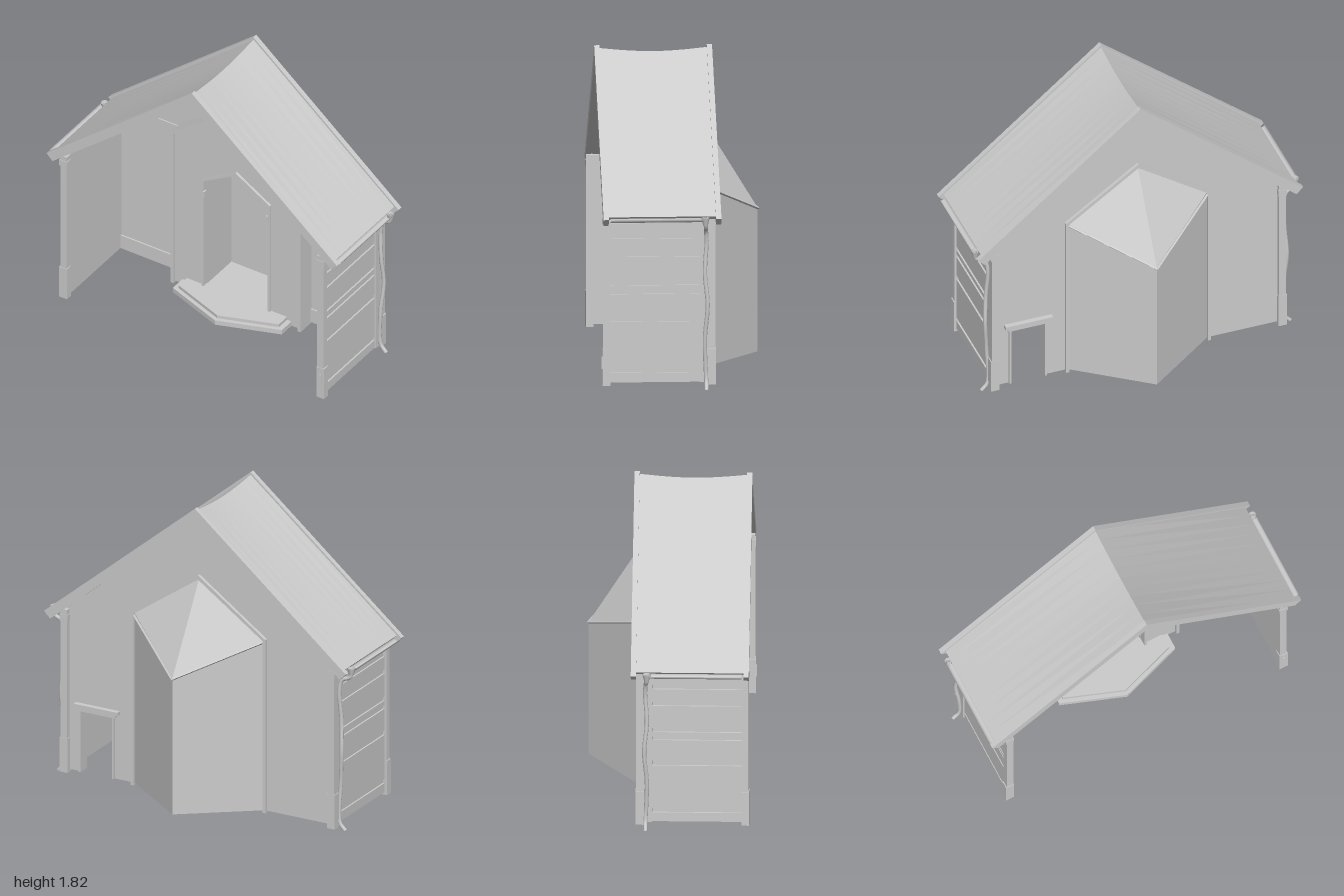
import * as THREE from 'three';

const mat = new THREE.MeshStandardMaterial({ color: 0xcccccc, flatShading: true, side: THREE.DoubleSide });
const smooth = new THREE.MeshStandardMaterial({ color: 0xcccccc, side: THREE.DoubleSide });

export function createModel() {
  const house = new THREE.Group();
  house.name = 'house';

  const add = (name, geometry, material = mat) => {
    const mesh = new THREE.Mesh(geometry, material);
    mesh.name = name;
    house.add(mesh);
    return mesh;
  };
  // Box given by its limits on each axis
  const box = (name, x0, x1, y0, y1, z0, z1) =>
    add(name, new THREE.BoxGeometry(Math.abs(x1 - x0), y1 - y0, z1 - z0))
      .position.set((x0 + x1) / 2, (y0 + y1) / 2, (z0 + z1) / 2);
  const toShape = (pts) => new THREE.Shape(pts.map(([x, y]) => new THREE.Vector2(x, y)));
  // Outline in the xy plane, extruded from z0 to z1
  const slab = (name, pts, z0, z1, steps = 1) => {
    const g = new THREE.ExtrudeGeometry(toShape(pts), { depth: z1 - z0, steps, bevelEnabled: false });
    g.translate(0, 0, z0);
    return add(name, g);
  };
  // Outline in plan (x, z), extruded from y0 to y1
  const plan = (name, pts, y0, y1, hole) => {
    const flip = (list) => list.map(([x, z]) => [x, -z]);
    const shape = toShape(flip(pts));
    if (hole) shape.holes.push(toShape(flip(hole)));
    const g = new THREE.ExtrudeGeometry(shape, { depth: y1 - y0, bevelEnabled: false });
    g.rotateX(-Math.PI / 2);
    g.translate(0, y0, 0);
    return add(name, g);
  };
  // Pointed arch: up the left side, over the peak, down the right side
  const gable = (w, base, eave, peak) => [[-w, base], [-w, eave], [0, peak], [w, eave], [w, base]];
  const arch = (w, base, eave, peak, t) =>
    [...gable(w, base, eave, peak), ...gable(w - t, base, eave - t * 0.4, peak - t * 1.3).reverse()];

  // Back wall, cut out for the bay and the small hatch
  slab('backWall', [
    [-0.87, 0.05], [-0.87, 1.03], [0, 1.77], [0.87, 1.03], [0.87, 0.05],
    [0.77, 0.05], [0.77, 0.43], [0.565, 0.43], [0.565, 0.05],
    [0.43, 0.05], [0.43, 1.1], [0, 1.4], [-0.43, 1.1], [-0.43, 0.05],
  ], -0.145, -0.1);
  box('gableStud', -0.009, 0.009, 1.4, 1.75, -0.1, -0.085);
  for (const [a, b] of [[-0.85, -0.43], [0.43, 0.85]]) box('wallBand', a, b, 0.965, 1.065, -0.1, -0.092);
  for (const [a, b] of [[-0.85, -0.43], [0.43, 0.555], [0.78, 0.85]]) box('baseboard', a, b, 0.05, 0.14, -0.1, -0.09);

  // Hatch frame
  for (const x of [0.553, 0.77]) box('hatchJamb', x, x + 0.012, 0.05, 0.43, -0.16, -0.085);
  box('hatchLintel', 0.54, 0.79, 0.425, 0.45, -0.165, -0.08);
  box('hatchLintelCap', 0.52, 0.808, 0.447, 0.468, -0.175, -0.07);

  // Bay front panel around the door, with deep trim running to the back
  slab('bayPanel', [
    ...gable(0.42, 0.05, 1.09, 1.39), ...gable(0.22, 0.05, 0.84, 0.98).reverse(),
  ], -0.03, 0);
  slab('bayTrim', arch(0.44, 0.04, 1.1, 1.41, 0.02), -0.165, 0.015);
  slab('doorTrim', arch(0.232, 0.04, 0.845, 0.985, 0.014), -0.03, 0.015);

  // Niche behind the door
  slab('nicheWalls', arch(0.225, 0.05, 0.84, 0.98, 0.01), -0.27, -0.03);
  slab('nicheBack', gable(0.225, 0.05, 0.84, 0.98), -0.28, -0.27);
  for (const s of [-1, 1]) box('doorHinge', s * 0.208, s * 0.222, 0.73, 0.77, -0.005, 0.02);

  // Pointed bay projecting from the back
  const bay = new THREE.BufferGeometry();
  const corners = [
    [0.425, 0.05, -0.145], [0.425, 1.09, -0.145], [0, 1.395, -0.145],
    [-0.425, 1.09, -0.145], [-0.425, 0.05, -0.145], [0, 0.05, -0.46], [0, 0.88, -0.46],
  ];
  const faces = [0, 5, 6, 0, 6, 1, 5, 4, 3, 5, 3, 6, 1, 6, 2, 2, 6, 3];
  bay.setAttribute('position', new THREE.Float32BufferAttribute(faces.flatMap((i) => corners[i]), 3));
  bay.computeVertexNormals();
  add('backBay', bay);
  // Thin eave trim under the bay roof
  for (const s of [-1, 1]) {
    const a = new THREE.Vector3(s * 0.43, 1.085, -0.15), b = new THREE.Vector3(0, 0.878, -0.463);
    add('bayEave', new THREE.TubeGeometry(new THREE.LineCurve3(a, b), 1, 0.008, 4));
  }

  // Two-tier pointed step that carries on as the niche floor
  const step = (w, z, tip) => [[-w, -0.03], [-w, z], [0, tip], [w, z], [w, -0.03]];
  plan('lowerStep', step(0.37, 0.1, 0.23), 0.05, 0.08,
    [[-0.33, -0.01], [-0.33, 0.08], [0, 0.195], [0.33, 0.08], [0.33, -0.01]]);
  plan('upperStep', step(0.34, 0.085, 0.205), 0.075, 0.1);
  box('nicheFloor', -0.22, 0.22, 0.075, 0.1, -0.27, -0.03);

  // Sagging roof between raised edge boards
  const chevron = (top, w, y, t) => [[-w, y], [0, top], [w, y], [w - t * 0.5, y - t * 0.5], [0, top - t], [-w + t * 0.5, y - t * 0.5]];
  const roof = slab('roof', chevron(1.815, 0.955, 1.02, 0.04), -0.18, 0.45, 10).geometry;
  const p = roof.attributes.position;
  for (let i = 0; i < p.count; i++) {
    const ridge = Math.max(0, 1 - Math.abs(p.getX(i)) / 0.955);
    p.setY(i, p.getY(i) - 0.022 * ridge * Math.cos((Math.PI * (p.getZ(i) - 0.135)) / 0.63));
  }
  roof.computeVertexNormals();
  for (const z of [-0.2, 0.44]) slab('roofEdgeBoard', chevron(1.83, 0.985, 1.01, 0.08), z, z + 0.03);

  // Side walls, posts, gutters and downpipes
  const planks = [[0.05, 0.105], [0.13, 0.4], [0.43, 0.56], [0.582, 0.61], [0.635, 0.775], [0.8, 0.88], [0.908, 0.97]];
  for (const s of [-1, 1]) {
    box('sideWall', s * 0.85, s * 0.87, 0.05, 1.03, -0.13, 0.45);
    for (const [a, b] of planks) box('sidePlank', s * 0.865, s * 0.88, a, b, -0.08, 0.43);

    for (const [z0, z1] of [[0.43, 0.468], [-0.172, -0.13]]) {
      box('cornerPost', s * 0.85, s * 0.892, 0.04, 1.03, z0, z1);
      box('postFoot', s * 0.846, s * 0.898, 0.035, 0.245, z0 - 0.002, z1 + 0.003);
      box('postHead', s * 0.846, s * 0.898, 0.96, 1.0, z0 - 0.002, z1 + 0.003);
    }
    box('cornerBoard', s * 0.86, s * 0.89, 0.05, 1.0, -0.13, -0.08);

    const gutter = new THREE.CylinderGeometry(0.02, 0.02, 0.54, 10, 1, true, -Math.PI / 2, Math.PI);
    gutter.rotateX(Math.PI / 2);
    gutter.translate(s * 0.968, 1.01, 0.16);
    add('gutter', gutter, smooth);

    const path = new THREE.CatmullRomCurve3([
      [0.97, 1.005, -0.11], [0.965, 0.96, -0.112], [0.915, 0.935, -0.115], [0.898, 0.87, -0.12],
      [0.906, 0.68, -0.11], [0.915, 0.5, -0.125], [0.902, 0.3, -0.11], [0.9, 0.06, -0.118], [0.935, 0.018, -0.118],
    ].map(([x, y, z]) => new THREE.Vector3(s * x, y, z)));
    add('downpipe', new THREE.TubeGeometry(path, 48, 0.012, 8), smooth);
    const funnel = new THREE.CylinderGeometry(0.024, 0.014, 0.04, 10, 1, true);
    funnel.translate(s * 0.97, 0.995, -0.11);
    add('pipeFunnel', funnel, smooth);
  }
  box('postLatch', 0.866, 0.88, 0.13, 0.2, 0.465, 0.476);

  return house;
}
